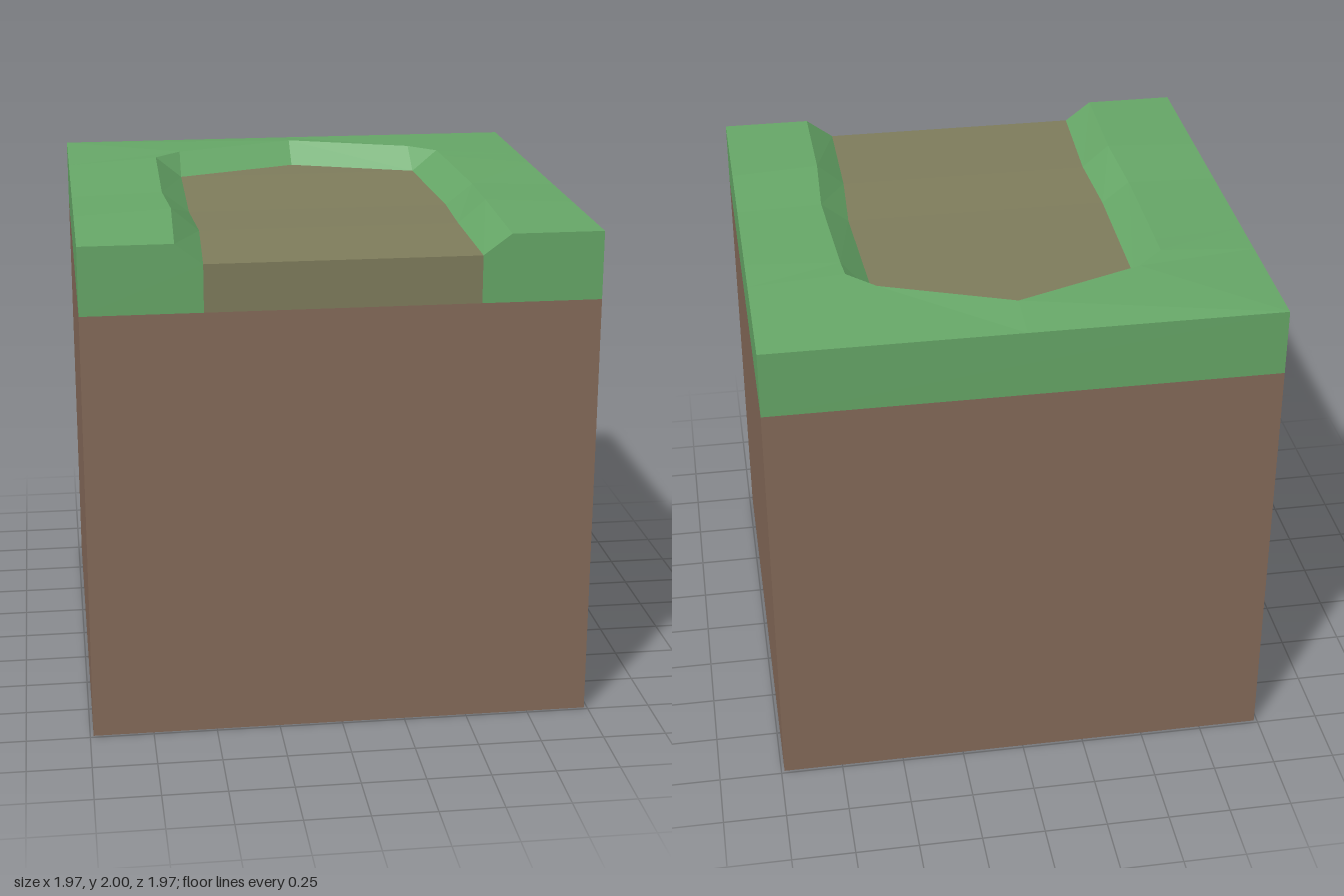
import * as THREE from 'three';

const H = 0.987; // half width of the block
const BASE = 1.71; // top of the earth
const EDGE = 1.975; // height of the turf at the block's edges

const grass = new THREE.MeshStandardMaterial({ color: 0x67a868 });
grass.name = 'grass green';
const earth = new THREE.MeshStandardMaterial({ color: 0x866b5a });
earth.name = 'earth brown';
const path = new THREE.MeshStandardMaterial({ color: 0x7f7d5c });
path.name = 'path olive';

// Flat-faceted mesh from convex polygons listed counter-clockwise
function facets(name, material, polygons) {
  const points = [];
  for (const p of polygons) {
    for (let i = 1; i < p.length - 1; i++) {
      const [a, b, c] = [p[0], p[i], p[i + 1]].map((v) => new THREE.Vector3(...v));
      const area = b.clone().sub(a).cross(c.clone().sub(a)).length();
      if (area > 1e-6) points.push(a, b, c);
    }
  }
  const geometry = new THREE.BufferGeometry().setFromPoints(points);
  geometry.computeVertexNormals();
  const mesh = new THREE.Mesh(geometry, material);
  mesh.name = name;
  return mesh;
}

// Joins two matching rows of points with quads
const strip = (outer, inner) =>
  outer.slice(1).map((p, i) => [outer[i], inner[i], inner[i + 1], p]);

// Loop from front left, round the back, to front right: rows are [xLeft, xRight, y, z]
function loop(rows, tip) {
  const left = rows.map(([x, , y, z]) => [x, y, z]);
  const right = rows.map(([, x, y, z]) => [x, y, z]).reverse();
  return [...left, tip, ...right];
}

export function createModel() {
  const model = new THREE.Group();
  model.name = 'pathEndBlock';

  // Earth cube
  const soil = new THREE.Mesh(new THREE.BoxGeometry(2 * H, BASE, 2 * H), earth);
  soil.position.y = BASE / 2;
  soil.name = 'earthBlock';
  model.add(soil);

  // Block edge, hollow rim and hollow floor outlines
  const border = loop(
    [H, 0.49, 0.15, -0.3, -0.48, -H].map((z) => [-H, H, EDGE, z]),
    [0, EDGE, -H]
  );
  const rim = loop(
    [
      [-0.63, 0.633, EDGE, H],
      [-0.61, 0.633, 1.995, 0.49],
      [-0.625, 0.648, 1.985, 0.15],
      [-0.615, 0.623, 1.997, -0.38],
      [-0.613, 0.615, 2, -0.48],
      [-0.503, 0.507, 2, -0.592],
    ],
    [0, 2, -0.787]
  );
  const corner = [-0.505, 0.512, 1.91, -0.487];
  const floor = loop(
    [
      [-0.525, 0.525, 1.895, H],
      [-0.502, 0.525, 1.903, 0.49],
      [-0.517, 0.54, 1.9, 0.15],
      corner,
      corner,
      corner,
    ],
    [0, 1.91, -0.682]
  );

  // Turf surface and the sloping bank round the hollow
  model.add(facets('grassTop', grass, strip(border, rim)));
  model.add(facets('grassBank', grass, strip(rim, floor)));

  // Turf walls on the back and both sides
  const corners = [[H, H], [H, -H], [-H, -H], [-H, H]];
  const walls = [0, 1, 2].map((i) => {
    const [[ax, az], [bx, bz]] = [corners[i], corners[i + 1]];
    return [[ax, BASE, az], [bx, BASE, bz], [bx, EDGE, bz], [ax, EDGE, az]];
  });
  model.add(facets('grassWalls', grass, walls));

  // Turf either side of the path on the front
  const end = floor.length - 1;
  const below = (p) => [p[0], BASE, p[2]];
  model.add(facets('grassFront', grass, [
    [below(border[0]), below(floor[0]), floor[0], rim[0], border[0]],
    [below(floor[end]), below(border[end]), border[end], rim[end], floor[end]],
  ]));

  // Path floor in cross strips, closed by the pointed back end
  const floorFaces = [0, 1, 2, 3, 4, 5].map((i) =>
    [floor[i], floor[end - i], floor[end - i - 1], floor[i + 1]]);
  model.add(facets('pathFloor', path, floorFaces));
  model.add(facets('pathFront', path, [
    [below(floor[0]), below(floor[end]), floor[end], floor[0]],
  ]));

  return model;
}
